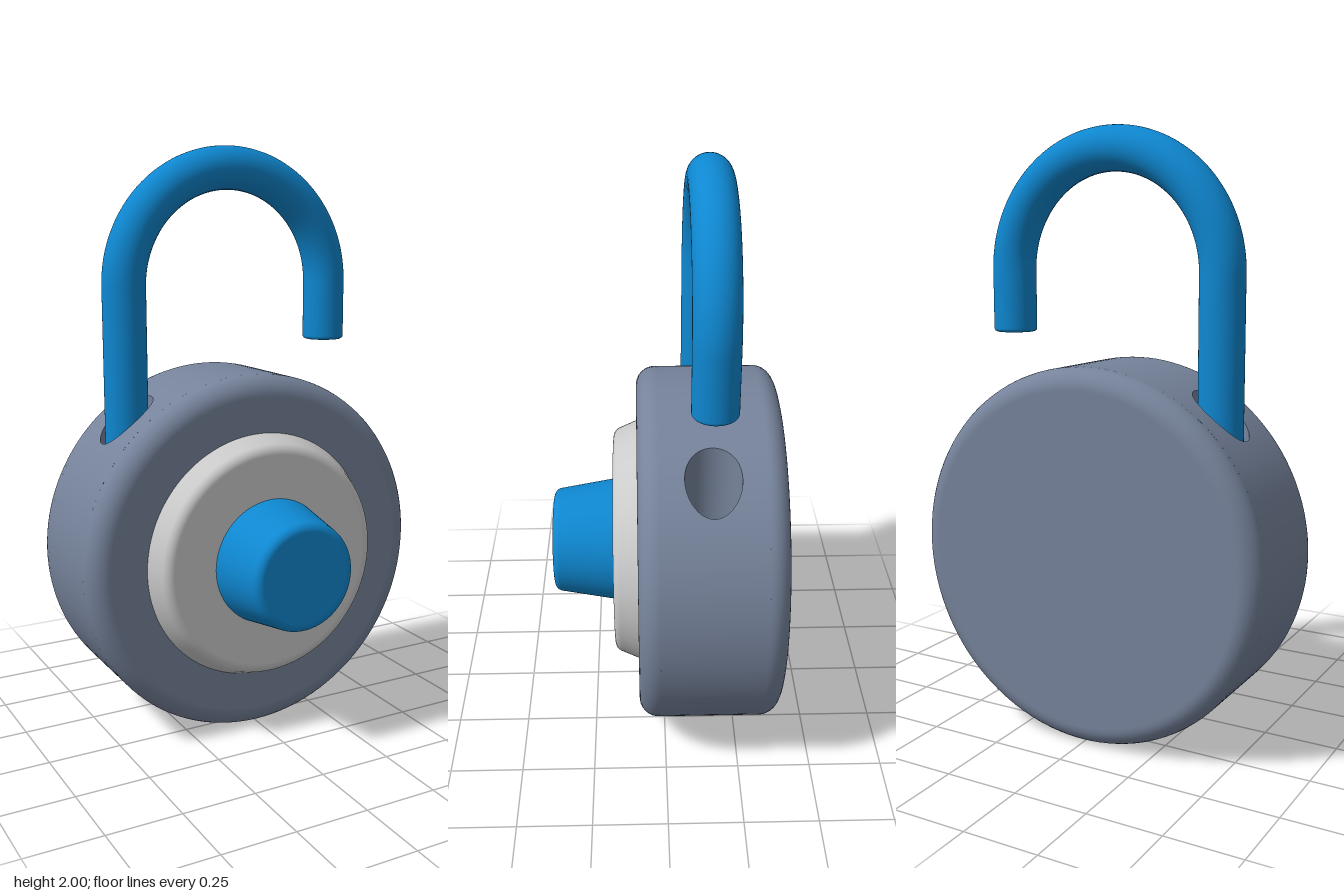
import * as THREE from 'three';
import { mergeGeometries } from 'three/addons/utils/BufferGeometryUtils.js';
import { ParametricGeometry } from 'three/addons/geometries/ParametricGeometry.js';

const R = 0.622, CY = 0.622;            // body radius and centre height
const BACK = -0.388, FRONT = 0.09;      // body depth
const FILLET = 0.065, SUPPORT = 0.005;
const WALL0 = BACK + FILLET + SUPPORT, WALL1 = FRONT - FILLET - SUPPORT;
const HX = 0.388, HZ = -0.148, HR = 0.09, FLOOR = 0.62; // shackle holes
const PATCH = [0.40, 0.97];             // angles of the wall patch around a hole
const BAR = 0.073, ARCH_Y = 2 - HX - BAR;

const lerp = THREE.MathUtils.lerp;
const paint = (color) => new THREE.MeshStandardMaterial({ color });

function mesh(name, geometry, material) {
  const m = new THREE.Mesh(geometry, material);
  m.name = name;
  return m;
}

// Profile through [radius, height, corner radius] points with rounded corners
function roundedProfile(corners, steps = 8) {
  const pts = corners.map(([x, y]) => new THREE.Vector2(x, y));
  const out = [];
  corners.forEach(([, , rad], i) => {
    const c = pts[i];
    if (!rad) { out.push(c); return; }
    const d1 = pts[i - 1].clone().sub(c).normalize();
    const d2 = pts[i + 1].clone().sub(c).normalize();
    const half = Math.acos(d1.dot(d2)) / 2;
    const t = rad / Math.tan(half);
    const centre = d1.clone().add(d2).normalize().multiplyScalar(rad / Math.sin(half)).add(c);
    const a = c.clone().addScaledVector(d1, t).sub(centre);
    const b = c.clone().addScaledVector(d2, t).sub(centre);
    const s = Math.min(SUPPORT, rad);
    out.push(c.clone().addScaledVector(d1, t + s));
    for (let k = 0; k <= steps; k++) {
      out.push(a.clone().lerp(b, k / steps).setLength(rad).add(centre));
    }
    out.push(c.clone().addScaledVector(d2, t + s));
  });
  return out;
}

// Turned part whose axis points to the front
function turned(points, segments = 128) {
  return new THREE.LatheGeometry(points, segments).rotateX(Math.PI / 2);
}

// Point on the body's round wall; the angle is measured from the top towards +x
const onWall = (a, z, target) => target.set(R * Math.sin(a), CY + R * Math.cos(a), z);

function wallSection(a0, a1, segments) {
  return new ParametricGeometry((u, v, p) => onWall(lerp(a0, a1, u), lerp(WALL1, WALL0, v), p), segments, 4);
}

// Wall patch pierced by a vertical round hole, with its bore and floor
function holeParts(side) {
  const x0 = side * HX;
  const midA = side * (PATCH[0] + PATCH[1]) / 2, halfA = (PATCH[1] - PATCH[0]) / 2;
  const midZ = (WALL0 + WALL1) / 2, halfZ = (WALL1 - WALL0) / 2;
  const patch = new ParametricGeometry((u, v, p) => {
    const c = Math.cos(u * 2 * Math.PI), s = Math.sin(u * 2 * Math.PI);
    const d = Math.max(Math.abs(c), Math.abs(s));
    const a = lerp(Math.asin((x0 + HR * c) / R), midA + halfA * c / d, v);
    onWall(a, lerp(HZ + HR * s, midZ + halfZ * s / d, v), p);
  }, 96, 8);
  const bore = new ParametricGeometry((u, v, p) => {
    const x = x0 + HR * Math.cos(u * 2 * Math.PI);
    const rim = CY + Math.sqrt(R * R - x * x);
    p.set(x, lerp(FLOOR, rim, v), HZ + HR * Math.sin(u * 2 * Math.PI));
  }, 96, 4);
  const floor = new THREE.CircleGeometry(HR, 48).rotateX(-Math.PI / 2).translate(x0, FLOOR, HZ);
  return [patch, bore, floor];
}

function bodyGeometry() {
  const backCap = roundedProfile([[0, BACK, 0], [R, BACK, FILLET], [R, WALL0, 0]]);
  const frontCap = roundedProfile([[R, WALL1, 0], [R, FRONT, FILLET], [0, FRONT, 0]]);
  return mergeGeometries([
    turned(backCap).translate(0, CY, 0),
    turned(frontCap).translate(0, CY, 0),
    wallSection(-PATCH[0], PATCH[0], 24),
    wallSection(PATCH[1], 2 * Math.PI - PATCH[1], 96),
    ...holeParts(1),
    ...holeParts(-1),
  ]);
}

// Straight shackle leg with softened lower end
function leg(x, bottom) {
  const profile = roundedProfile([[0, bottom, 0], [BAR, bottom, 0.012], [BAR, ARCH_Y, 0]]);
  return new THREE.LatheGeometry(profile, 48).translate(x, 0, HZ);
}

export function createModel() {
  const model = new THREE.Group();
  model.name = 'padlock';
  const slate = paint(0x76839b), blue = paint(0x0e87d0), grey = paint(0xcccccc);

  // Round case with two shackle holes
  model.add(mesh('body', bodyGeometry(), slate));

  // Dial plate
  const dial = mesh('dial', turned(roundedProfile([
    [0.427, FRONT - 0.005, 0], [0.39, 0.172, 0.035], [0, 0.172, 0],
  ])), grey);
  dial.position.y = CY + 0.005;
  model.add(dial);

  // Tapered knob
  const knob = mesh('knob', turned(roundedProfile([
    [0.217, 0.165, 0], [0.18, 0.385, 0.028], [0, 0.385, 0],
  ]), 96), blue);
  knob.position.y = CY + 0.005;
  model.add(knob);

  // Open shackle: arch, long leg in its hole, short free leg
  const shackle = new THREE.Group();
  shackle.name = 'shackle';
  shackle.add(
    mesh('arch', new THREE.TorusGeometry(HX, BAR, 48, 72, Math.PI).translate(0, ARCH_Y, HZ), blue),
    mesh('longLeg', leg(-HX, 0.8), blue),
    mesh('shortLeg', leg(HX, 1.33), blue),
  );
  model.add(shackle);
  return model;
}
